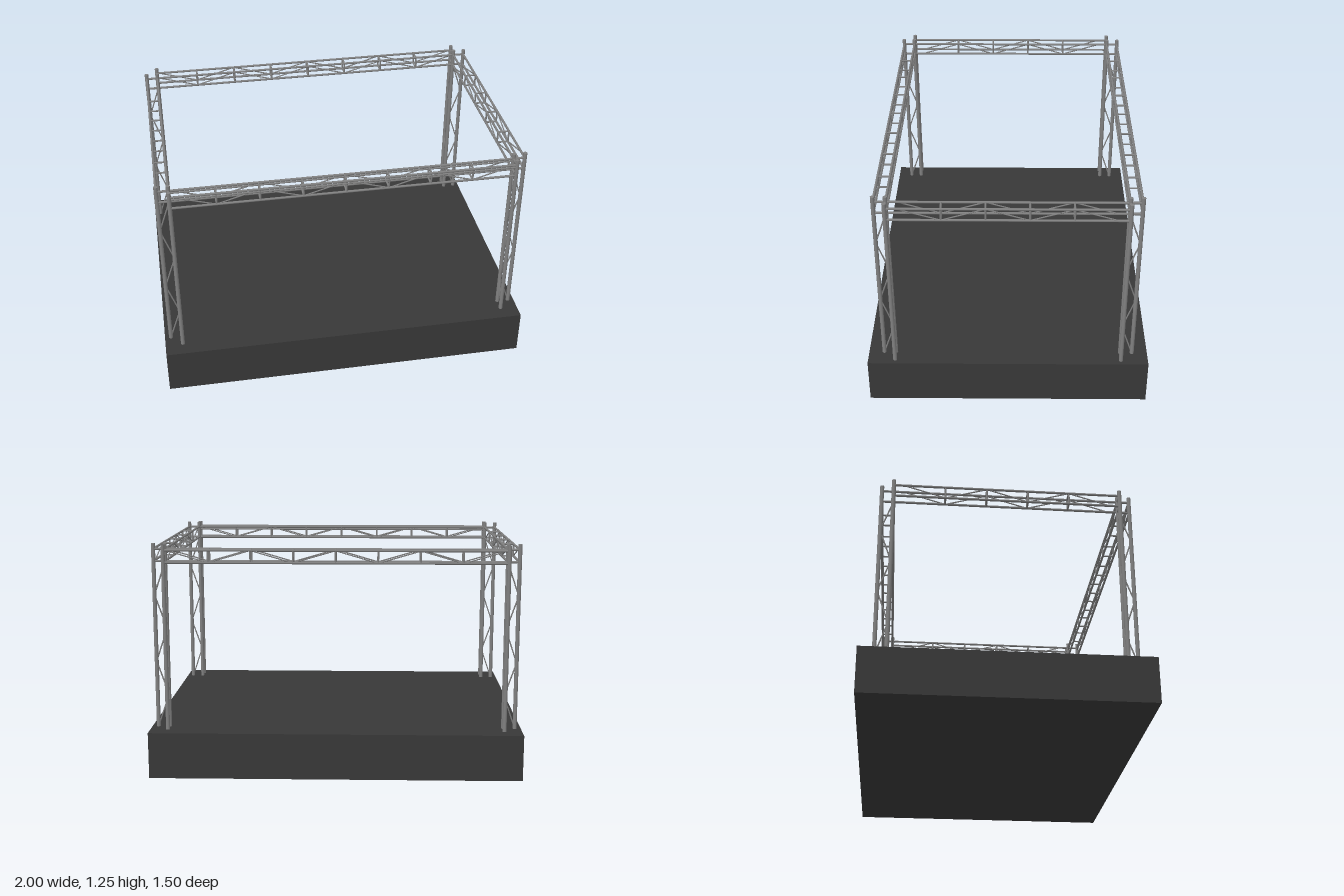
import * as THREE from 'three';

const metal = new THREE.MeshStandardMaterial({ color: 0x808080 });
const dark = new THREE.MeshStandardMaterial({ color: 0x383838 });

// Round bar between two points
function bar(parent, name, a, b, radius, sides = 8) {
  const start = new THREE.Vector3(...a), end = new THREE.Vector3(...b);
  const dir = end.clone().sub(start);
  const mesh = new THREE.Mesh(new THREE.CylinderGeometry(radius, radius, dir.length(), sides), metal);
  mesh.name = name;
  mesh.position.copy(start).add(end).multiplyScalar(0.5);
  mesh.quaternion.setFromUnitVectors(new THREE.Vector3(0, 1, 0), dir.normalize());
  parent.add(mesh);
}

const DECK = 0.25, TOP = 1.25;
const X_IN = 0.905, X_OUT = 0.967, Z_IN = 0.605, Z_OUT = 0.668;
const Y_LOW = 1.155, Y_HIGH = 1.22;

// Three posts in an L, laced on the two sides that meet at the inner post
function makeTower(sx, sz) {
  const tower = new THREE.Group();
  tower.name = 'cornerTower';
  const inner = [sx * X_IN, sz * Z_IN];
  const outers = [[sx * X_OUT, sz * Z_IN], [sx * X_IN, sz * Z_OUT]];
  for (const [x, z] of [inner, ...outers]) bar(tower, 'post', [x, DECK, z], [x, TOP, z], 0.011, 12);
  const step = (Y_LOW - DECK) / 5;
  for (const outer of outers) {
    for (let i = 0; i < 5; i++) {
      const [p, q] = i % 2 ? [inner, outer] : [outer, inner];
      bar(tower, 'towerBrace', [p[0], DECK + i * step, p[1]], [q[0], DECK + (i + 1) * step, q[1]], 0.004, 6);
    }
  }
  return tower;
}

// Box truss along x: inner face at z = 0, outer face at z = depth
function makeBeam(name, innerHalf, outerHalf, depth, bays, pitch) {
  const beam = new THREE.Group();
  beam.name = name;
  for (const [z, half] of [[0, innerHalf], [depth, outerHalf]]) {
    for (const y of [Y_LOW, Y_HIGH]) bar(beam, 'chord', [-half, y, z], [half, y, z], 0.0065);
    for (let i = 0; i < bays; i++) {
      const x = (i - bays / 2) * pitch;
      const [y0, y1] = i % 2 ? [Y_LOW, Y_HIGH] : [Y_HIGH, Y_LOW];
      bar(beam, 'beamBrace', [x, y0, z], [x + pitch, y1, z], 0.0035, 6);
      if (i > 0) bar(beam, 'upright', [x, Y_LOW, z], [x, Y_HIGH, z], 0.005);
    }
  }
  // Crossbars joining the two faces
  for (let i = 1; i < bays; i++) {
    const x = (i - bays / 2) * pitch;
    for (const y of [Y_LOW, Y_HIGH]) bar(beam, 'crossbar', [x, y, 0], [x, y, depth], 0.005);
  }
  return beam;
}

export function createModel() {
  const model = new THREE.Group();
  model.name = 'stage';

  const platform = new THREE.Mesh(new THREE.BoxGeometry(2, DECK, 1.5), dark);
  platform.name = 'platform';
  platform.position.y = DECK / 2;
  model.add(platform);

  for (const sx of [-1, 1]) for (const sz of [-1, 1]) model.add(makeTower(sx, sz));

  // Front and back beams
  for (const [name, turn] of [['frontBeam', 0], ['backBeam', Math.PI]]) {
    const beam = makeBeam(name, X_OUT, X_IN, Z_OUT - Z_IN, 8, 0.223);
    beam.rotation.y = turn;
    beam.position.z = Z_IN * Math.cos(turn);
    model.add(beam);
    // Second pair of rods hung just under the front top chords
    if (turn === 0) for (const z of [0, Z_OUT - Z_IN]) {
      bar(beam, 'hangingRod', [-X_IN, 1.206, z], [X_IN, 1.206, z], 0.005);
    }
  }

  // Side beams
  for (const [name, side] of [['leftBeam', 1], ['rightBeam', -1]]) {
    const beam = makeBeam(name, Z_OUT, Z_IN, X_OUT - X_IN, 5, 0.22);
    beam.rotation.y = side * Math.PI / 2;
    beam.position.x = side * X_IN;
    model.add(beam);
  }
  return model;
}
